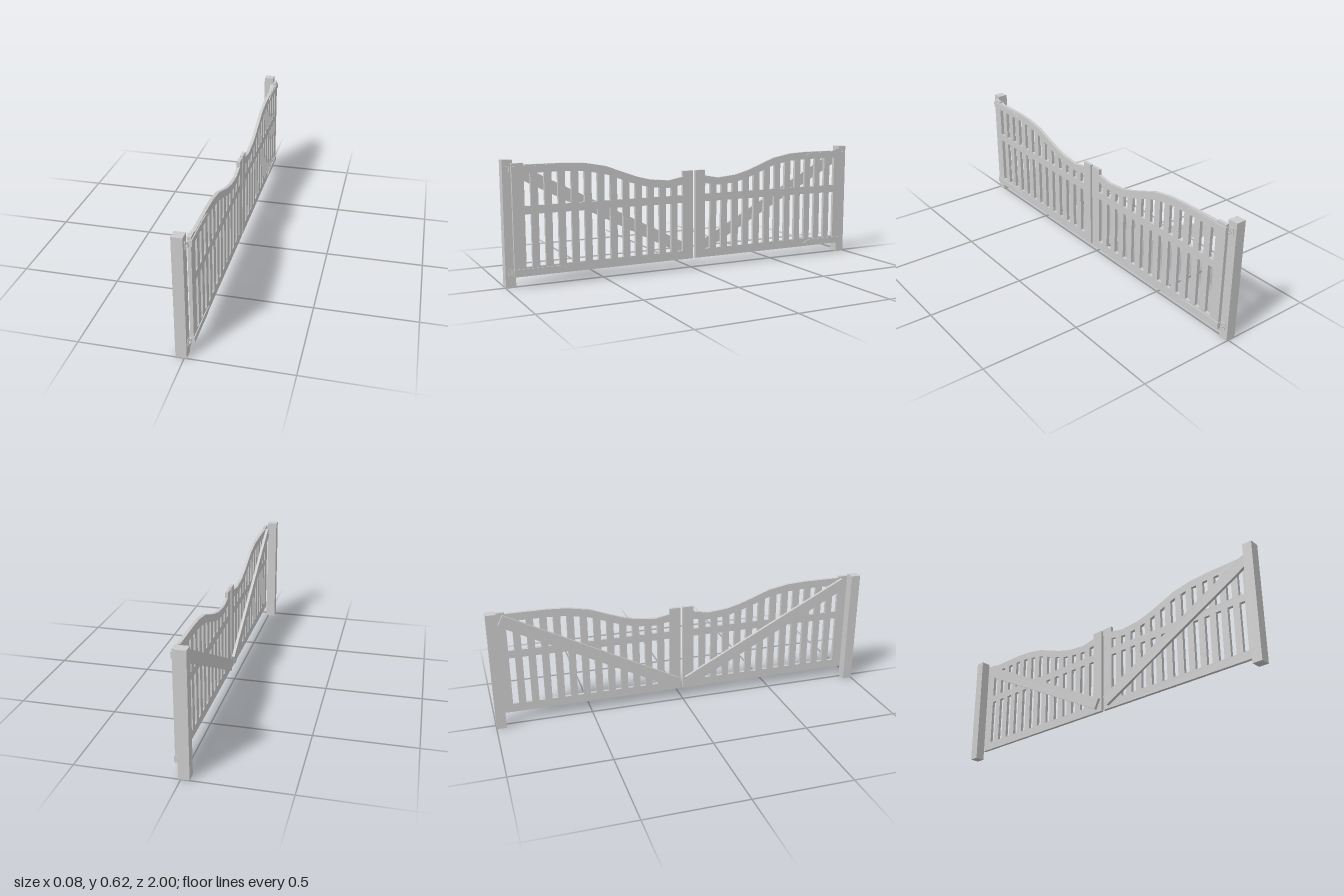
import * as THREE from 'three';

const material = new THREE.MeshStandardMaterial({ color: 0xcccccc, flatShading: true });

// Curved head of a leaf: [z, y] from the hinge side to the middle
const HEAD = [[0.905, 0.592], [0.7, 0.592], [0.6, 0.587], [0.49, 0.567], [0.4, 0.533], [0.32, 0.505],
  [0.25, 0.487], [0.145, 0.477], [0.065, 0.492]];
const RAIL = 0.04;

function headY(z) {
  for (let i = 1; i < HEAD.length; i++) {
    const [z0, y0] = HEAD[i - 1], [z1, y1] = HEAD[i];
    if (z >= z1) return y0 + (y1 - y0) * (z0 - z) / (z0 - z1);
  }
  return HEAD[HEAD.length - 1][1];
}

export function createModel() {
  const model = new THREE.Group();
  model.name = 'doubleGate';

  const add = (parent, name, geometry) => {
    const mesh = new THREE.Mesh(geometry, material);
    mesh.name = name;
    parent.add(mesh);
    return mesh;
  };

  const box = (parent, name, x0, x1, y0, y1, z0, z1) => {
    const mesh = add(parent, name, new THREE.BoxGeometry(x1 - x0, y1 - y0, Math.abs(z1 - z0)));
    mesh.position.set((x0 + x1) / 2, (y0 + y1) / 2, (z0 + z1) / 2);
  };

  // Flat part outlined in the z-y plane, spanning x0..x1; mirrored outlines keep their winding
  const slab = (parent, name, side, outline, x0, x1, holes = []) => {
    const points = list => {
      const result = list.map(([z, y]) => new THREE.Vector2(side * z, y));
      return side < 0 ? result.reverse() : result;
    };
    const shape = new THREE.Shape(points(outline));
    shape.holes = holes.map(h => new THREE.Path(points(h).reverse()));
    const geometry = new THREE.ExtrudeGeometry(shape, { depth: x1 - x0, bevelEnabled: false });
    geometry.rotateY(-Math.PI / 2).translate(x1, 0, 0);
    add(parent, name, geometry);
  };

  for (const side of [1, -1]) {
    const half = new THREE.Group();
    half.name = side > 0 ? 'frontHalf' : 'backHalf';
    model.add(half);

    box(half, 'post', -0.04, 0.012, 0, 0.615, side * 0.95, side);

    // Slots between the slats, above and below the middle rail
    const holes = [];
    const slats = 12, slatWidth = 0.0365, first = 0.066, last = 0.903;
    const slotWidth = (last - first - slats * slatWidth) / (slats + 1);
    for (let i = 0; i <= slats; i++) {
      const a = first + i * (slotWidth + slatWidth);
      const b = a + slotWidth;
      holes.push([[a, 0.1], [b, 0.1], [b, 0.355], [a, 0.355]]);
      holes.push([[a, 0.395], [b, 0.395], [b, headY(b) - RAIL], [a, headY(a) - RAIL]]);
    }

    // Leaf with taller stiles at both ends
    const outline = [[0.007, 0.055], [0.961, 0.055], [0.961, 0.6], [0.905, 0.6],
      ...HEAD, [0.065, 0.522], [0.007, 0.522]];
    slab(half, 'leaf', side, outline, 0.019, 0.0355, holes);

    // Diagonal brace behind the leaf
    const [z0, y0, z1, y1] = [0.03, 0.097, 0.93, 0.563];
    const length = Math.hypot(z1 - z0, y1 - y0);
    const brace = add(half, 'brace', new THREE.BoxGeometry(0.015, 0.06, length));
    brace.position.set(0.0115, (y0 + y1) / 2, side * (z0 + z1) / 2);
    brace.rotation.x = -side * Math.atan2(y1 - y0, z1 - z0);

    // Strap hinges
    for (const [name, y] of [['upperHinge', 0.572], ['lowerHinge', 0.077]]) {
      const hinge = new THREE.Group();
      hinge.name = name;
      half.add(hinge);
      slab(hinge, 'strap', side, [[0.955, y - 0.015], [0.955, y + 0.015], [0.75, y + 0.015],
        [0.725, y + 0.011], [0.7, y], [0.725, y - 0.011], [0.75, y - 0.015]], 0.0355, 0.04);
      box(hinge, 'strapEnd', 0.021, 0.04, y - 0.015, y + 0.015, side * 0.955, side * 0.964);
      box(hinge, 'postPlate', 0.012, 0.015, y - 0.022, y + 0.014, side * 0.966, side * 0.985);
      box(hinge, 'pinBracket', 0.012, 0.025, y - 0.012, y - 0.006, side * 0.964, side * 0.977);
      const pin = add(hinge, 'pin', new THREE.CylinderGeometry(0.004, 0.004, 0.026, 10));
      pin.position.set(0.022, y - 0.002, side * 0.969);
      for (const dy of [-0.017, 0.009]) {
        const bolt = add(hinge, 'bolt', new THREE.CylinderGeometry(0.003, 0.003, 0.003, 8));
        bolt.rotation.z = Math.PI / 2;
        bolt.position.set(0.0162, y + dy, side * 0.981);
      }
    }
  }
  return model;
}
